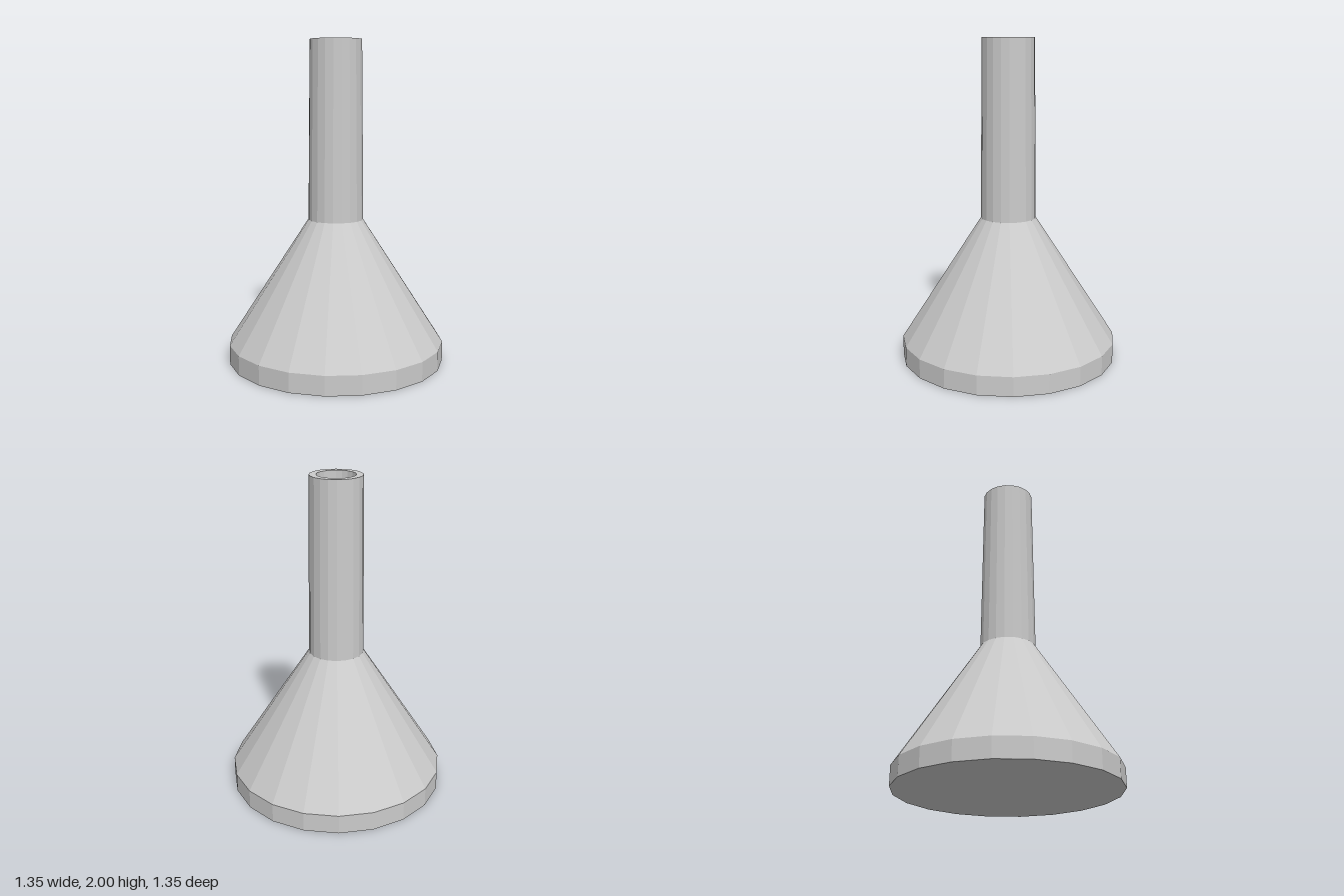
import * as THREE from 'three';

const SIDES = 20;
const material = new THREE.MeshStandardMaterial({ color: 0xcccccc, flatShading: true });

// Faceted turned part from [radius, height] pairs
function turned(name, profile) {
  const points = profile.map(([r, y]) => new THREE.Vector2(r, y));
  const mesh = new THREE.Mesh(new THREE.LatheGeometry(points, SIDES), material);
  mesh.name = name;
  return mesh;
}

export function createModel() {
  const group = new THREE.Group();
  group.name = 'flask';

  // Flat underside, short upright band and sloping shoulder
  group.add(turned('body', [[0, 0], [0.675, 0], [0.675, 0.12], [0.172, 0.895]]));

  // Slightly tapering neck with a flat rim
  group.add(turned('neck', [[0.172, 0.895], [0.16, 2], [0.118, 2]]));

  // Straight bore down the neck, closed by a floor
  group.add(turned('bore', [[0.118, 2], [0.118, 0.895], [0, 0.895]]));

  return group;
}
